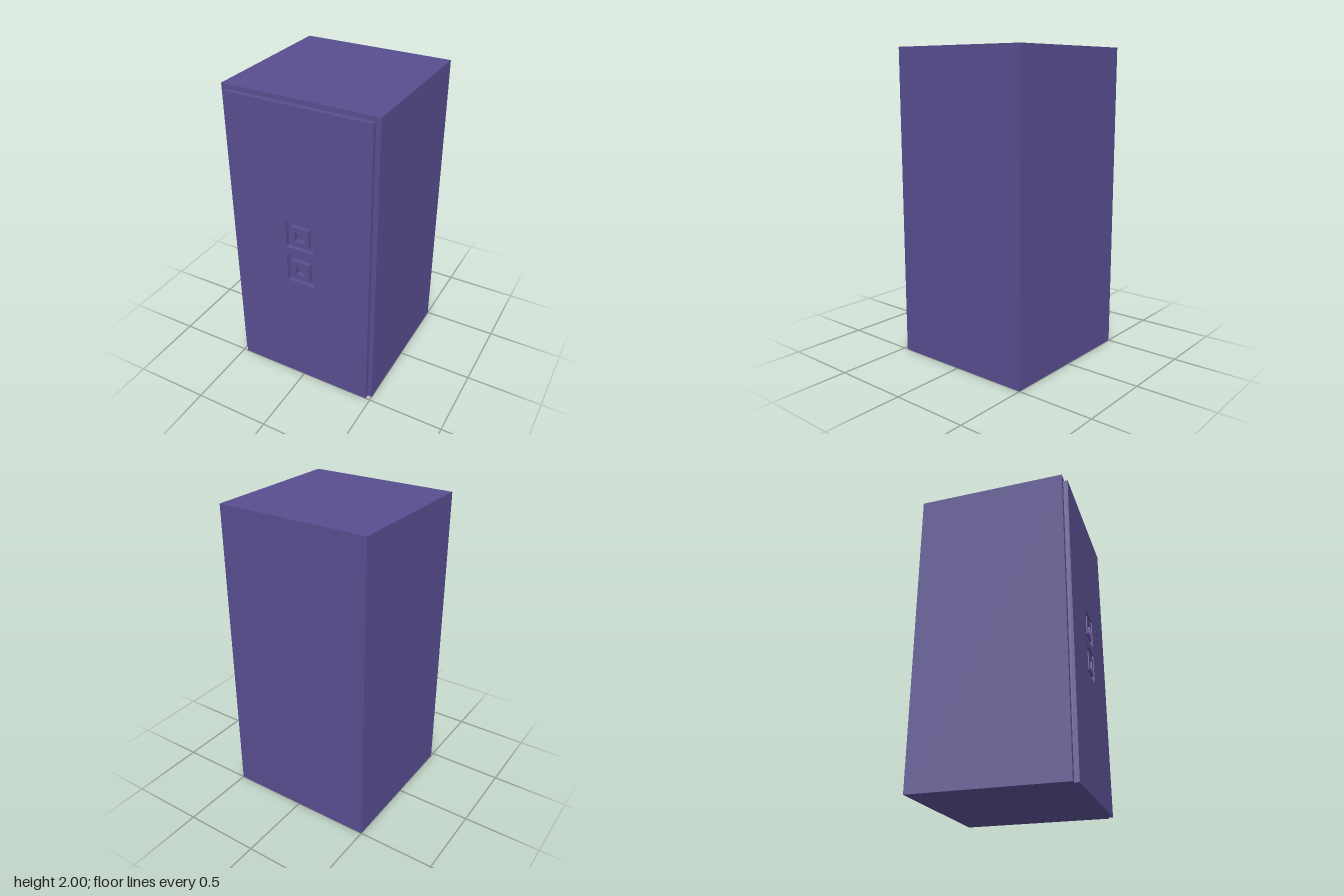
import * as THREE from 'three';

const purple = new THREE.MeshStandardMaterial({ color: 0x584e90 });
purple.name = 'purple';

// Square outline or hole centred on (0, cy)
function square(Type, cy, h) {
  const p = new Type();
  p.moveTo(-h, cy - h);
  p.lineTo(h, cy - h);
  p.lineTo(h, cy + h);
  p.lineTo(-h, cy + h);
  p.closePath();
  return p;
}

export function createModel() {
  const model = new THREE.Group();
  model.name = 'cabinet';
  const backZ = 0.47, depth = 0.03;
  const add = (name, geometry) => {
    const mesh = new THREE.Mesh(geometry, purple);
    mesh.name = name;
    model.add(mesh);
    return mesh;
  };

  // Main block
  add('body', new THREE.BoxGeometry(1, 2, 0.97)).position.set(0, 1, -0.015);

  // Front panel with two square recesses
  const door = new THREE.Shape();
  door.moveTo(-0.47, 0);
  door.lineTo(0.47, 0);
  door.lineTo(0.47, 1.97);
  door.lineTo(-0.47, 1.97);
  door.closePath();
  const centres = { upper: 1.125, lower: 0.875 };
  for (const cy of Object.values(centres)) door.holes.push(square(THREE.Path, cy, 0.094));
  const extrude = { depth, bevelEnabled: false };
  add('frontPanel', new THREE.ExtrudeGeometry(door, extrude)).position.z = backZ;

  // Raised square ring inside each recess
  for (const [name, cy] of Object.entries(centres)) {
    const ring = square(THREE.Shape, cy, 0.0625);
    ring.holes.push(square(THREE.Path, cy, 0.033));
    add(name + 'SquareRing', new THREE.ExtrudeGeometry(ring, extrude)).position.z = backZ;
  }
  return model;
}
